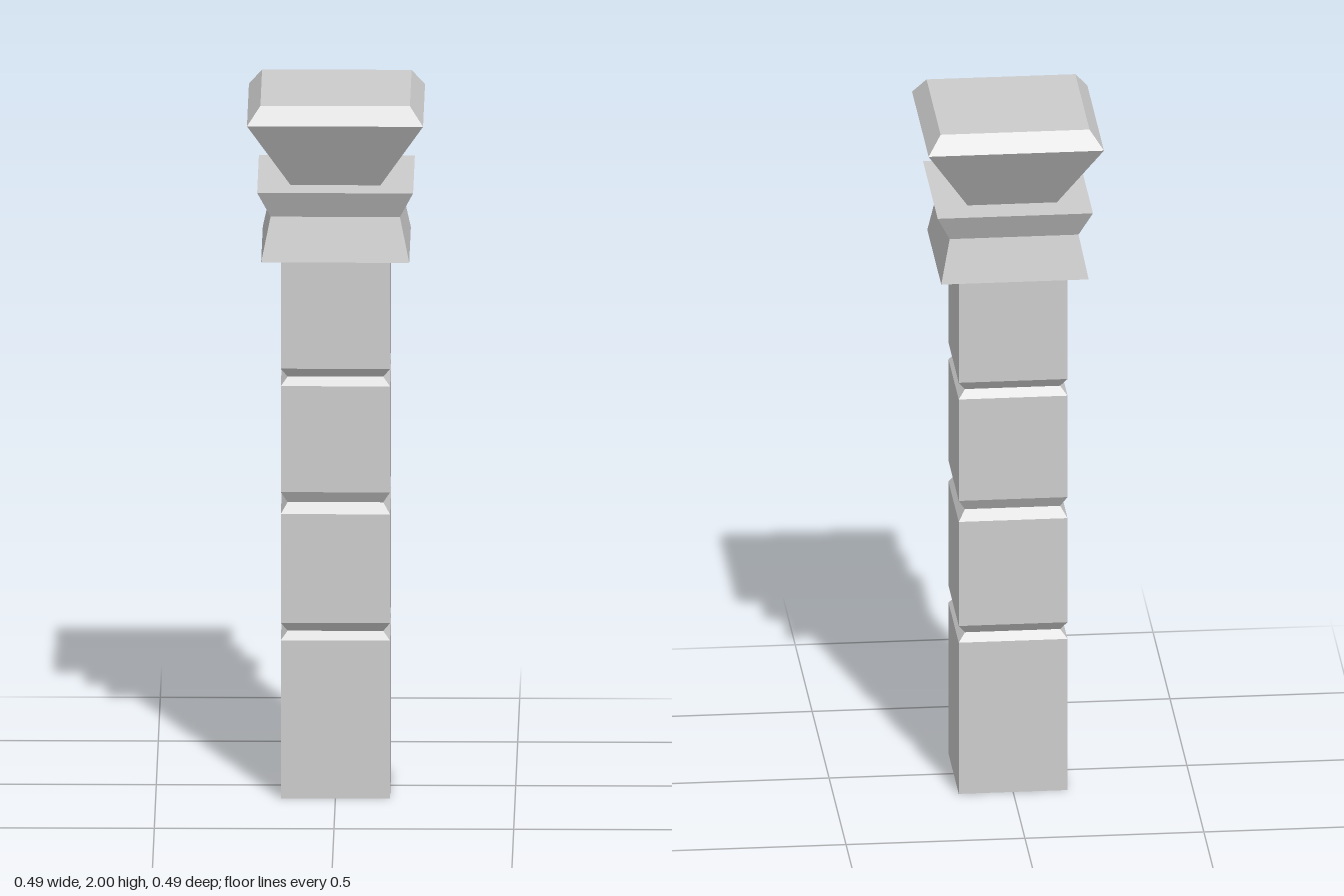
import * as THREE from 'three';

// Square solid from [half width, height] pairs, listed bottom to top, closed at both ends
function squareSolid(name, profile, material) {
  const first = profile[0], last = profile[profile.length - 1];
  const points = [[0, first[1]], ...profile, [0, last[1]]]
    .map(([half, y]) => new THREE.Vector2(half * Math.SQRT2, y));
  const geometry = new THREE.LatheGeometry(points, 4).rotateY(Math.PI / 4).toNonIndexed();
  geometry.computeVertexNormals();
  const mesh = new THREE.Mesh(geometry, material);
  mesh.name = name;
  return mesh;
}

export function createModel() {
  const stone = new THREE.MeshStandardMaterial({ color: 0xcccccc, flatShading: true });
  stone.name = 'grey stone';

  const model = new THREE.Group();
  model.name = 'pillar';

  // Shaft with three V-shaped grooves: [lower edge, middle, upper edge]
  const half = 0.152, grooveHalf = 0.133;
  const grooves = [[0.453, 0.476, 0.503], [0.815, 0.845, 0.878], [1.182, 1.205, 1.232]];
  const shaft = [[half, 0]];
  for (const [low, mid, high] of grooves) {
    shaft.push([half, low], [grooveHalf, mid], [half, high]);
  }
  shaft.push([half, 1.56]);
  model.add(squareSolid('shaft', shaft, stone));

  // Waisted collar
  model.add(squareSolid('collar', [[0.206, 1.55], [0.18, 1.675], [0.217, 1.752]], stone));

  // Flared capital with a bevelled top
  model.add(squareSolid('capital', [[0.125, 1.752], [0.245, 1.95], [0.208, 2]], stone));

  return model;
}
